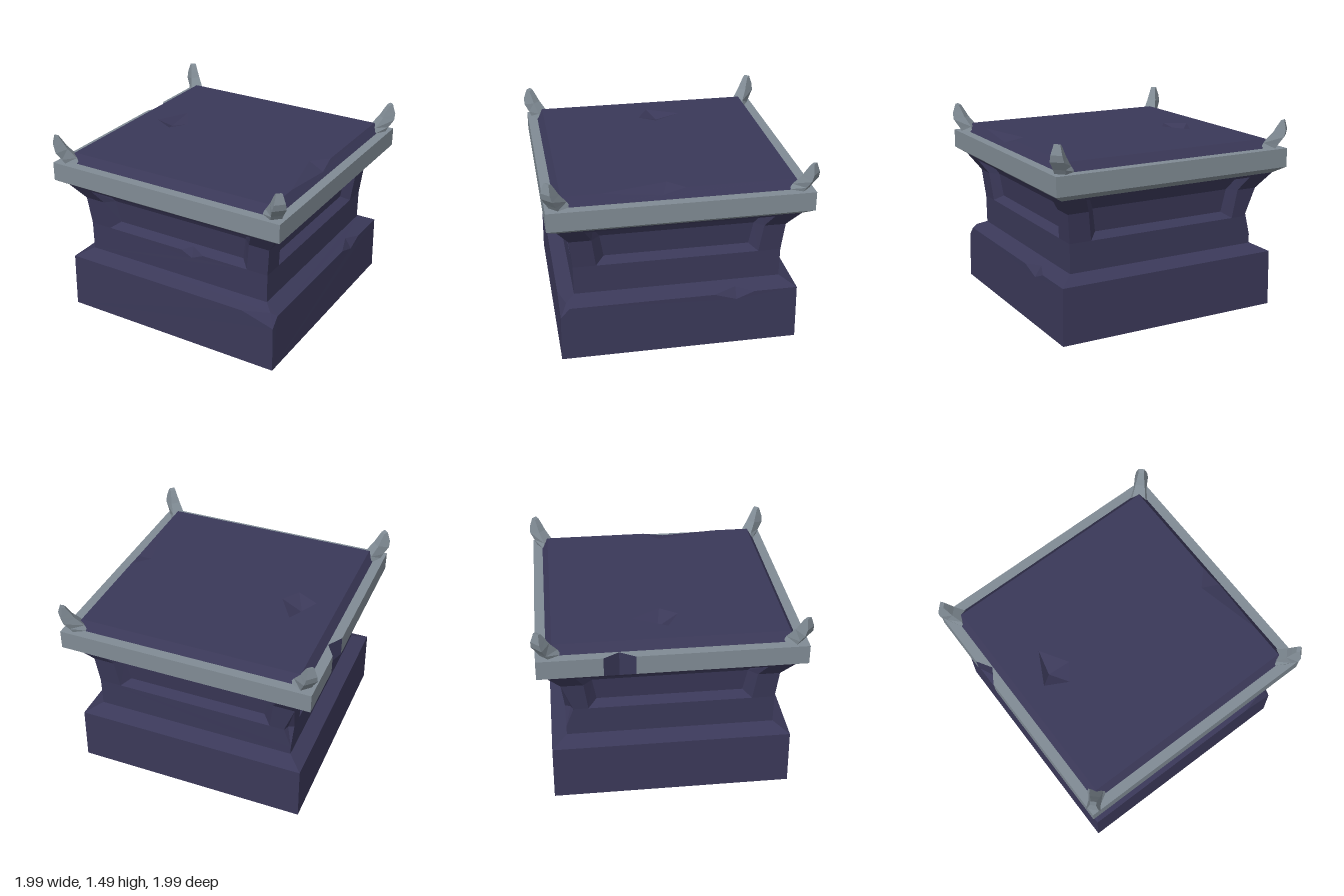
import * as THREE from 'three';

const stone = new THREE.MeshStandardMaterial({ color: 0x3a3858 });
stone.name = 'dark stone';
const trimGrey = new THREE.MeshStandardMaterial({ color: 0x808b94 });
trimGrey.name = 'grey trim';

// Collects flat polygons; each one is turned to face the direction `dir`.
class Faces {
  constructor() { this.pos = []; this.turn = 0; }
  spin([x, y, z]) {
    for (let i = 0; i < this.turn; i++) [x, z] = [z, -x];
    return new THREE.Vector3(x, y, z);
  }
  poly(dir, points, hole = []) {
    const pts = points.map((p) => this.spin(p));
    const holePts = hole.map((p) => this.spin(p));
    const d = this.spin(dir);
    // Newell normal chooses the plane used for triangulation
    const n = new THREE.Vector3();
    pts.forEach((p, i) => n.add(new THREE.Vector3().crossVectors(p, pts[(i + 1) % pts.length])));
    if (n.dot(d) < 0) n.negate();
    const a = [Math.abs(n.x), Math.abs(n.y), Math.abs(n.z)];
    const drop = a.indexOf(Math.max(...a));
    const flat = (p) => (drop === 0 ? new THREE.Vector2(p.y, p.z)
      : drop === 1 ? new THREE.Vector2(p.x, p.z) : new THREE.Vector2(p.x, p.y));
    const tris = THREE.ShapeUtils.triangulateShape(pts.map(flat), holePts.length ? [holePts.map(flat)] : []);
    const all = [...pts, ...holePts];
    for (const t of tris) {
      let [p, q, r] = t.map((i) => all[i]);
      const m = q.clone().sub(p).cross(r.clone().sub(p));
      if (m.dot(n) < 0) [q, r] = [r, q];
      for (const v of [p, q, r]) this.pos.push(v.x, v.y, v.z);
    }
  }
  mesh(name, material) {
    const g = new THREE.BufferGeometry();
    g.setAttribute('position', new THREE.Float32BufferAttribute(this.pos, 3));
    g.computeVertexNormals();
    const m = new THREE.Mesh(g, material);
    m.name = name;
    return m;
  }
}

const UP = [0, 1, 0], DOWN = [0, -1, 0], OUT = [0, 0, 1], SLOPE = [0, 1, 1];

// Plinth with sloping ledge, chipped corner and hollow underside
function makeBase() {
  const f = new Faces();
  const L = [-0.9, 0.435, 0.9], R = [0.9, 0.435, 0.9];
  const A = [0.64, 0.435, 0.9], B = [0.9, 0.36, 0.9], D = [0.852, 0.457, 0.852];
  const B1 = [-0.9, 0.36, 0.9], C1 = [-0.83, 0.435, 0.9], D1 = [-0.852, 0.457, 0.852];
  const E = [0.26, 0.435, 0.9], F = [0.43, 0.38, 0.9], G = [0.57, 0.435, 0.9], H = [0.43, 0.46, 0.846];
  const faceTop = [[B, A, L], [R, G, F, E, C1, B1]];
  const ledgeEdge = [[L, A, D], [D1, C1, E, H, G, R]];
  for (let k = 0; k < 4; k++) {
    f.turn = k;
    f.poly(OUT, [[-0.905, 0, 0.905], [0.905, 0, 0.905], ...(faceTop[k] || [R, L])]);
    f.poly(SLOPE, [...(ledgeEdge[k] || [L, R]), [0.785, 0.49, 0.785], [-0.785, 0.49, 0.785]]);
    f.poly(DOWN, [[-0.905, 0, 0.905], [0.905, 0, 0.905], [0, 0.67, 0]]);
    if (k === 0) f.poly(SLOPE, [A, B, D]);
    if (k === 1) {
      f.poly(SLOPE, [B1, C1, D1]);
      f.poly(SLOPE, [E, F, H]);
      f.poly(SLOPE, [F, G, H]);
    }
  }
  return f.mesh('base', stone);
}

// Flared neck with a recessed panel on each side
function makeNeck() {
  const f = new Faces();
  // height, half width of wall, half width of panel opening
  const rows = [[0.715, 0.787, 0.615], [0.94, 0.81, 0.645], [1.05, 0.886, 0.7]];
  // height, half width, depth position of the sunken panel
  const sunk = [[0.76, 0.55, 0.725], [0.94, 0.58, 0.745], [1.03, 0.63, 0.8]];
  const bite = 0.06;
  for (let k = 0; k < 4; k++) {
    f.turn = k;
    const chipped = (s) => (k === 2 && s > 0) || (k === 3 && s < 0);
    const wall = (i, s) => [s * (rows[i][1] - (i === 0 && chipped(s) ? bite : 0)), rows[i][0], rows[i][1]];
    const open = (i, s) => [s * rows[i][2], rows[i][0], rows[i][1]];
    const inner = (i, s) => [s * sunk[i][1], sunk[i][0], sunk[i][2]];
    const nick = k === 0
      ? [[0.05, 0.715, 0.787], [0.14, 0.67, 0.786], [0.24, 0.715, 0.787], [0.13, 0.745, 0.742]] : null;

    // lower band, with the chipped edge and nick where present
    const band = [[-0.785, 0.49, 0.785], [0.785, 0.49, 0.785]];
    if (chipped(1)) band.push([0.786, 0.56, 0.786]);
    band.push(wall(0, 1), open(0, 1));
    if (nick) band.push(nick[2], nick[1], nick[0]);
    band.push(open(0, -1), wall(0, -1));
    if (chipped(-1)) band.push([-0.786, 0.56, 0.786]);
    f.poly(OUT, band);

    // wall beside the panel, panel rims and panel back
    for (let i = 0; i < 2; i++) {
      for (const s of [-1, 1]) {
        f.poly(OUT, [open(i, s), wall(i, s), wall(i + 1, s), open(i + 1, s)]);
        f.poly([-s, 0, 1], [open(i, s), open(i + 1, s), inner(i + 1, s), inner(i, s)]);
      }
      f.poly(OUT, [inner(i, -1), inner(i, 1), inner(i + 1, 1), inner(i + 1, -1)]);
    }
    f.poly([0, -1, 0.2], [open(2, -1), open(2, 1), inner(2, 1), inner(2, -1)]);
    f.poly(OUT, [wall(2, -1), wall(2, 1), [0.9, 1.07, 0.9], [-0.9, 1.07, 0.9]]);
    const sill = nick ? [nick[0], nick[3], nick[2]] : [];
    f.poly(SLOPE, [open(0, -1), ...sill, open(0, 1), inner(0, 1), inner(0, -1)]);
    if (nick) {
      f.poly(SLOPE, [nick[0], nick[1], nick[3]]);
      f.poly(SLOPE, [nick[1], nick[2], nick[3]]);
    }
    // broken vertical corner
    for (const s of [-1, 1]) if (chipped(s)) {
      const deep = [s * 0.745, 0.715, 0.745];
      f.poly([s, 0, 1], [wall(1, s), wall(0, s), deep]);
      f.poly([s, 0, 1], [wall(0, s), [s * 0.786, 0.56, 0.786], deep]);
    }
  }
  return f.mesh('neck', stone);
}

// Grey rim with a V-shaped break on one side
function makeRim() {
  const f = new Faces(), cut = new Faces();
  for (let k = 0; k < 4; k++) {
    f.turn = cut.turn = k;
    const broken = k === 3, o = 0.975;
    const notch = (y, yIn) => (broken ? [[-0.5, y, o], [-0.385, yIn, 0.905], [-0.27, y, o]] : []);
    const spans = broken ? [[-o, -0.5], [-0.27, o]] : [[-o, o]];
    for (const [a, b] of spans) f.poly(OUT, [[a, 1.12, o], [b, 1.12, o], [b, 1.265, o], [a, 1.265, o]]);
    f.poly(UP, [[-o, 1.265, o], ...notch(1.265, 1.265), [o, 1.265, o], [0.9, 1.265, 0.9], [-0.9, 1.265, 0.9]]);
    f.poly(DOWN, [[-o, 1.12, o], ...notch(1.12, 1.073), [o, 1.12, o], [0.9, 1.07, 0.9], [-0.9, 1.07, 0.9]]);
    if (broken) {
      const t = notch(1.265, 1.265), u = notch(1.12, 1.073);
      cut.poly([1, 0, 1], [t[0], t[1], u[1], u[0]]);
      cut.poly([-1, 0, 1], [t[1], t[2], u[2], u[1]]);
    }
  }
  return [f.mesh('rim', trimGrey), cut.mesh('rimBreak', stone)];
}

// Bevelled top slab with a pit and a chipped edge
function makeTop() {
  const f = new Faces();
  const y = 1.33, h = 0.855;
  const P = [[h, y, -0.04], [0.74, y, 0.08], [h, y, 0.58]], Q = [0.879, 1.295, 0.13];
  const pit = [[-0.56, y, -0.26], [-0.43, y, -0.05], [-0.52, y, 0.08], [-0.69, y, -0.01]];
  f.poly(UP, [[-h, y, -h], [h, y, -h], ...P, [h, y, h], [-h, y, h]], pit);
  pit.forEach((p, i) => f.poly(UP, [p, pit[(i + 1) % 4], [-0.6, y - 0.06, -0.08]]));
  f.poly(UP, [P[0], P[1], Q]);
  f.poly(UP, [P[1], P[2], Q]);
  f.poly([1, 1, 0], [[0.9, 1.265, 0.9], [0.9, 1.265, -0.9], [h, y, -h], P[0], Q, P[2], [h, y, h]]);
  for (const k of [0, 2, 3]) {
    f.turn = k;
    f.poly(SLOPE, [[-0.9, 1.265, 0.9], [0.9, 1.265, 0.9], [h, y, h], [-h, y, h]]);
  }
  return f.mesh('topSlab', stone);
}

// Upswept corner horn: inner centre, inner spread, inner y, outer centre, outer spread, outer y
function makeHorn(k) {
  const f = new Faces();
  f.turn = k;
  const rings = [
    [0.84, 0.05, 1.265, 0.915, 0.03, 1.265],
    [0.85, 0.035, 1.305, 0.93, 0.032, 1.3],
    [0.895, 0.026, 1.38, 0.96, 0.037, 1.36],
    [0.915, 0.02, 1.43, 0.967, 0.03, 1.41],
    [0.935, 0.015, 1.475, 0.955, 0.016, 1.485],
  ].map(([a, s, y, b, t, z]) => [[a - s, y, a + s], [b - t, z, b + t], [b + t, z, b - t], [a + s, y, a - s]]);
  const dirs = [[-1, 0, 1], [1, 0, 1], [1, 0, -1], [-1, 0, -1]];
  for (let i = 0; i < rings.length - 1; i++) {
    for (let j = 0; j < 4; j++) {
      const n = (j + 1) % 4;
      f.poly(dirs[j], [rings[i][j], rings[i][n], rings[i + 1][n], rings[i + 1][j]]);
    }
  }
  f.poly(UP, rings[rings.length - 1]);
  return f.mesh('cornerHorn', trimGrey);
}

export function createModel() {
  const model = new THREE.Group();
  model.name = 'pedestal';
  model.add(makeBase(), makeNeck(), ...makeRim(), makeTop());
  for (let k = 0; k < 4; k++) model.add(makeHorn(k));
  return model;
}
